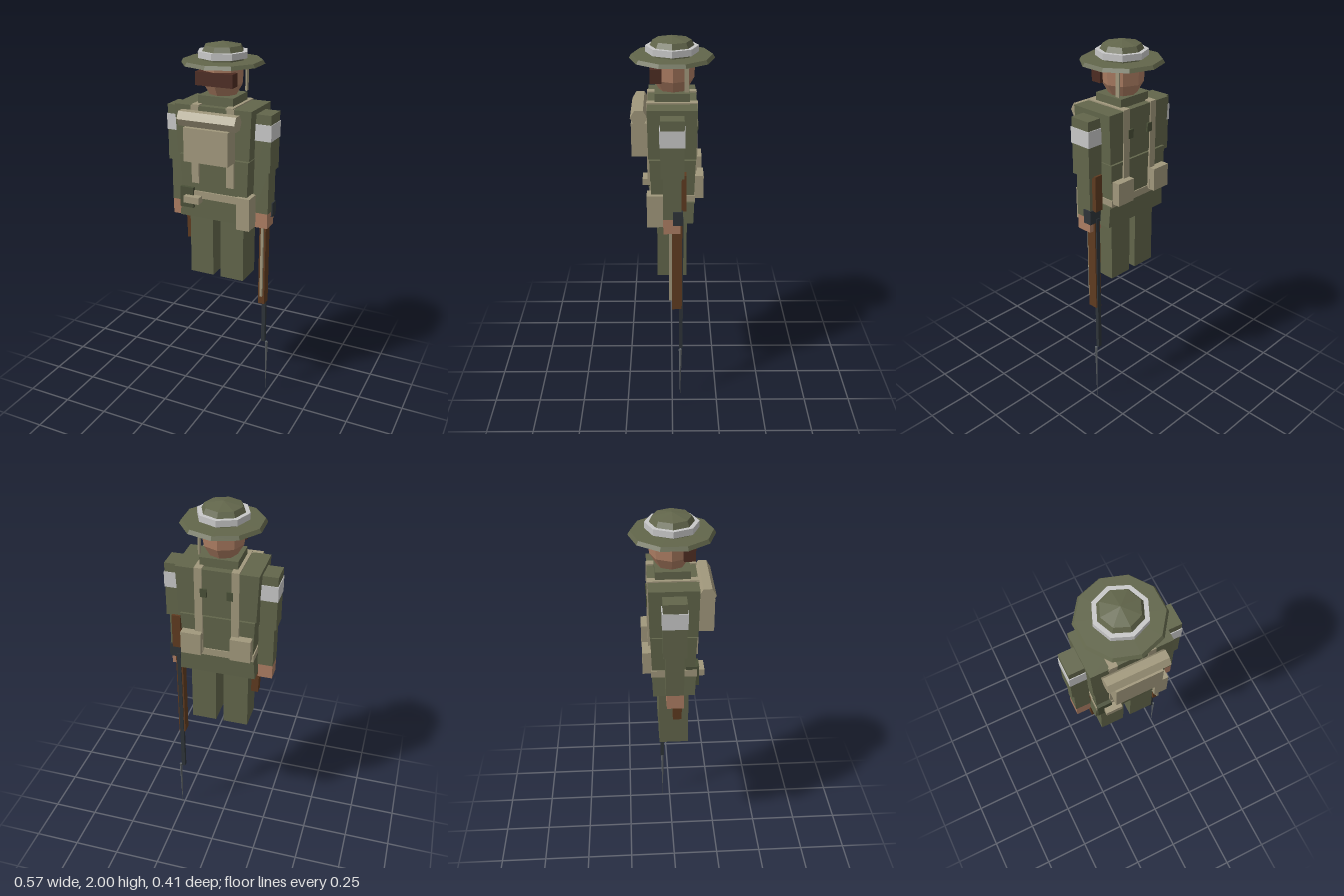
import * as THREE from 'three';

const paint = (name, color) => {
  const m = new THREE.MeshStandardMaterial({ color, flatShading: true });
  m.name = name;
  return m;
};

export function createModel() {
  const green = paint('uniform green', 0x62664b);
  const darkGreen = paint('dark green', 0x4a5038);
  const tan = paint('canvas tan', 0xa1987c);
  const skin = paint('skin', 0xac7d62);
  const hairBrown = paint('hair brown', 0x4d2c22);
  const wood = paint('wood brown', 0x5f3b20);
  const metal = paint('gun metal', 0x2e3439);
  const steel = paint('blade steel', 0x5c6165);
  const white = paint('band white', 0xc8c8c8);

  const model = new THREE.Group();
  model.name = 'soldier';
  const add = (name, geometry, material) => {
    const mesh = new THREE.Mesh(geometry, material);
    mesh.name = name;
    model.add(mesh);
    return mesh;
  };

  // Box given by its limits; the bottom can be scaled in x and z
  const box = (name, material, [x0, x1], [y0, y1], [z0, z1], sx = 1, sz = 1) => {
    const g = new THREE.BoxGeometry(x1 - x0, y1 - y0, z1 - z0);
    const p = g.attributes.position;
    for (let i = 0; i < p.count; i++) {
      if (p.getY(i) < 0) p.setXYZ(i, p.getX(i) * sx, p.getY(i), p.getZ(i) * sz);
    }
    g.computeVertexNormals();
    const mesh = add(name, g, material);
    mesh.position.set((x0 + x1) / 2, (y0 + y1) / 2, (z0 + z1) / 2);
    return mesh;
  };
  // The same box on both sides
  const pair = (name, material, [x0, x1], y, z, sx, sz) => {
    box(name + 'Left', material, [x0, x1], y, z, sx, sz);
    box(name + 'Right', material, [-x1, -x0], y, z, sx, sz);
  };
  const lathe = (name, material, sides, points) =>
    add(name, new THREE.LatheGeometry(points.map(([r, y]) => new THREE.Vector2(r, y)), sides), material);

  // Hat
  lathe('hatBrim', green, 10, [[0, 1.895], [0.207, 1.895], [0.196, 1.913], [0, 1.915]]);
  lathe('hatCrown', green, 8, [[0.108, 1.905], [0.107, 1.955], [0.093, 1.982], [0, 2]]);
  lathe('hatBand', white, 8, [[0.1, 1.925], [0.128, 1.925], [0.128, 1.956], [0.1, 1.956]]);

  // Head, hair, chin strap and collar
  const head = lathe('head', skin, 8, [[0, 1.74], [0.068, 1.74], [0.103, 1.8], [0.108, 1.9], [0, 1.9]]);
  head.position.z = -0.005;
  box('hair', hairBrown, [-0.1, 0.1], [1.797, 1.863], [0.05, 0.106]);
  box('chinStrap', tan, [0.094, 0.103], [1.755, 1.895], [-0.08, -0.058]);
  box('collar', green, [-0.095, 0.095], [1.69, 1.745], [-0.085, 0.085]);

  // Jacket
  box('chest', green, [-0.207, 0.207], [1.45, 1.7], [-0.12, 0.12], 0.95, 0.97);
  box('waist', green, [-0.19, 0.19], [1.21, 1.441], [-0.115, 0.112], 0.95, 0.93);
  box('jacketSkirt', green, [-0.187, 0.195], [1.105, 1.22], [-0.11, 0.11], 1.04, 0.96);
  box('belt', tan, [-0.188, 0.188], [1.215, 1.253], [-0.114, 0.114]);
  pair('breastButton', darkGreen, [0.05, 0.082], [1.555, 1.6], [-0.128, -0.114]);

  // Arms
  pair('upperArm', green, [0.2, 0.284], [1.385, 1.675], [-0.057, 0.057]);
  pair('armBand', white, [0.197, 0.287], [1.545, 1.627], [-0.061, 0.061]);
  pair('forearm', green, [0.193, 0.272], [1.16, 1.39], [-0.045, 0.045]);
  pair('hand', skin, [0.195, 0.27], [1.08, 1.162], [-0.04, 0.045]);

  // Legs
  pair('leg', green, [0.021, 0.153], [0.77, 1.11], [-0.075, 0.077]);

  // Webbing: shoulder straps and ammunition pouches
  pair('frontStrap', tan, [0.073, 0.112], [1.24, 1.7], [-0.124, -0.112]);
  pair('shoulderStrap', tan, [0.073, 0.112], [1.695, 1.706], [-0.124, 0.124]);
  pair('backStrap', tan, [0.077, 0.117], [1.3, 1.7], [0.11, 0.124]);
  pair('ammoPouch', tan, [0.075, 0.18], [1.235, 1.355], [-0.155, -0.1]);

  // Backpack and bedroll
  box('backpack', tan, [-0.12, 0.12], [1.435, 1.607], [0.115, 0.2]);
  const roll = add('bedroll', new THREE.CylinderGeometry(0.042, 0.042, 0.31, 6), tan);
  roll.rotation.z = Math.PI / 2;
  roll.position.set(0, 1.645, 0.16);

  // Hip gear
  box('hipBag', tan, [0.133, 0.205], [1.085, 1.257], [0.04, 0.127]);
  box('toolCover', darkGreen, [-0.185, -0.11], [1.16, 1.27], [0.06, 0.125]);
  box('toolHandle', tan, [-0.152, -0.065], [1.195, 1.23], [0.11, 0.155]);
  const scabbard = box('scabbard', wood, [-0.195, -0.157], [0.95, 1.24], [-0.005, 0.04]);
  scabbard.rotation.z = 0.03;

  // Rifle carried muzzle down
  box('rifleButt', wood, [0.21, 0.255], [1.2, 1.39], [-0.069, -0.03]);
  box('rifleReceiver', metal, [0.208, 0.278], [1.13, 1.205], [-0.052, -0.004]);
  box('rifleStock', wood, [0.211, 0.247], [0.615, 1.15], [-0.05, 0.002]);
  box('rifleBarrel', metal, [0.219, 0.24], [0.355, 1.15], [-0.056, -0.036]);
  box('rifleSling', tan, [0.225, 0.238], [0.665, 1.1], [0, 0.016]);

  // Bayonet tapering to a point
  const blade = add('bayonet', new THREE.ConeGeometry(0.009, 0.355, 4), steel);
  blade.rotation.x = Math.PI;
  blade.position.set(0.249, 0.1775, -0.044);

  return model;
}
